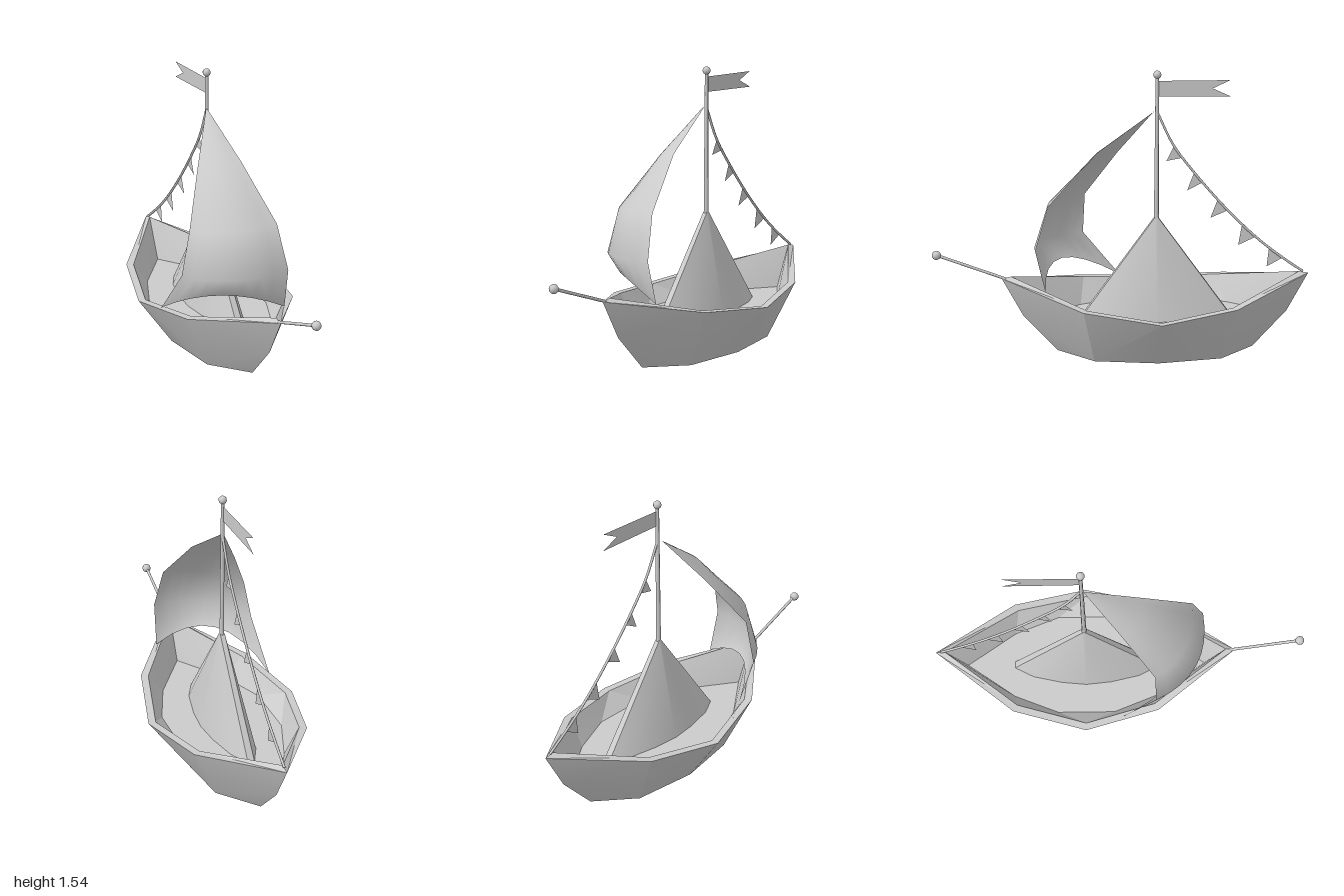
import * as THREE from 'three';
import { toCreasedNormals } from 'three/addons/utils/BufferGeometryUtils.js';

const MID = -0.175; // z of the mast and of the hull's middle
const V = (x, y, z) => new THREE.Vector3(x, y, z);
const grey = new THREE.MeshStandardMaterial({ color: 0xcccccc });
const greyThin = new THREE.MeshStandardMaterial({ color: 0xcccccc, side: THREE.DoubleSide });

function add(group, name, geometry, material = grey) {
  const mesh = new THREE.Mesh(geometry, material);
  mesh.name = name;
  group.add(mesh);
  return mesh;
}

// Mirrors one quarter (+x, front half) to all four quarters about x = 0 and z = MID.
function fourQuarters(points, faces, crease) {
  const pos = [];
  for (const sx of [1, -1]) for (const sz of [1, -1]) {
    for (const face of faces) {
      const names = face.split(' ');
      if (sx * sz < 0) names.reverse();
      for (const n of names) {
        const [x, y, z] = points[n];
        pos.push(x * sx, y, MID + z * sz);
      }
    }
  }
  const geo = new THREE.BufferGeometry();
  geo.setAttribute('position', new THREE.Float32BufferAttribute(pos, 3));
  return toCreasedNormals(geo, crease);
}

// Straight round bar between two points.
function bar(group, name, a, b, r0, r1) {
  const mesh = add(group, name, new THREE.CylinderGeometry(r1, r0, a.distanceTo(b), 8));
  mesh.position.copy(a).lerp(b, 0.5);
  mesh.quaternion.setFromUnitVectors(V(0, 1, 0), b.clone().sub(a).normalize());
}

function ball(group, name, p, r) {
  add(group, name, new THREE.SphereGeometry(r, 10, 8)).position.copy(p);
}

// Flat piece in the x = 0 plane from [z, y] corners.
function flatPiece(group, name, corners) {
  const shape = new THREE.Shape(corners.map(([z, y]) => new THREE.Vector2(-z, y)));
  const geo = new THREE.ShapeGeometry(shape);
  geo.rotateY(Math.PI / 2);
  return add(group, name, geo, greyThin);
}

// Sail: rows of left edge, right edge and belly depth, from top to foot.
function sailGeometry() {
  const rows = [
    [V(-0.012, 1.325, -0.16), V(-0.004, 1.325, -0.16), 0],
    [V(-0.15, 1.08, 0.02), V(0.04, 1.12, 0.14), 0.03],
    [V(-0.28, 0.82, 0.19), V(0.11, 0.86, 0.39), 0.07],
    [V(-0.33, 0.59, 0.2), V(0.14, 0.63, 0.46), 0.1],
    [V(-0.355, 0.335, 0.0), V(0.15, 0.405, 0.41), 0.13],
  ];
  const cols = 8, pos = [], index = [];
  rows.forEach(([left, right, belly], r) => {
    for (let c = 0; c <= cols; c++) {
      const u = c / cols, arch = 4 * u * (1 - u);
      const p = left.clone().lerp(right, u).addScaledVector(V(-0.5, 0, 0.87), belly * arch);
      if (r === rows.length - 1) p.y += 0.125 * arch; // arched foot
      pos.push(p.x, p.y, p.z);
      if (r && c) {
        const d = r * (cols + 1) + c, b = d - cols - 1;
        index.push(b - 1, d - 1, d, b - 1, d, b);
      }
    }
  });
  const geo = new THREE.BufferGeometry();
  geo.setAttribute('position', new THREE.Float32BufferAttribute(pos, 3));
  geo.setIndex(index);
  geo.computeVertexNormals();
  return geo;
}

export function createModel() {
  const boat = new THREE.Group();
  boat.name = 'sailboat';

  // Hull: outer planks, rim, inner walls and floor.
  const hull = {
    R0: [0, 0.44, 0.815], R1: [0.31, 0.35, 0.395], R2: [0.41, 0.31, 0],
    M: [0, 0.23, 0.705],
    B0: [0, 0.03, 0.525], B1: [0.17, 0.03, 0.335], B2: [0.22, 0.03, 0], K: [0, 0, 0],
    I0: [0, 0.45, 0.765], I1: [0.275, 0.35, 0.375], I2: [0.37, 0.31, 0],
    F0: [0, 0.22, 0.66], F1: [0.185, 0.22, 0.395], F2: [0.28, 0.22, 0.155],
    F3: [0.28, 0.22, 0], FC: [0, 0.22, 0],
  };
  add(boat, 'hull', fourQuarters(hull, [
    'R2 B1 B2', 'R1 B1 R2', 'R1 M B1', 'M B0 B1', 'R0 M R1', 'K B2 B1', 'K B1 B0',
    'R0 R1 I1', 'R0 I1 I0', 'R1 R2 I2', 'R1 I2 I1',
    'I0 I1 F1', 'I0 F1 F0', 'I1 I2 F2', 'I1 F2 F1', 'I2 F3 F2',
    'FC F0 F1', 'FC F1 F2', 'FC F2 F3',
  ], 0.25));

  // Folded peak: two curved panels joined by narrow strips front and back.
  const peak = {
    S: [0, 0.765, 0.008], T0: [0.012, 0.765, 0.008], T1: [0.012, 0.765, 0], S1: [0, 0.765, 0],
    D: [0, 0.21, 0.405], C0: [0.018, 0.21, 0.405], C1: [0.072, 0.21, 0.3],
    C2: [0.108, 0.21, 0.14], C3: [0.122, 0.21, 0],
  };
  add(boat, 'peak', fourQuarters(peak, [
    'T0 S D', 'T0 D C0', 'T0 C0 C1', 'T0 C1 C2', 'T0 C2 C3', 'T0 C3 T1', 'S T0 T1', 'S T1 S1',
  ], 0.7));

  // Mast and bowsprit, each ending in a ball.
  bar(boat, 'mast', V(0, 0.7, MID), V(0, 1.51, MID), 0.013, 0.009);
  ball(boat, 'mastBall', V(0, 1.517, MID), 0.021);
  bar(boat, 'bowsprit', V(0, 0.435, 0.61), V(0, 0.575, 0.975), 0.008, 0.008);
  ball(boat, 'bowspritBall', V(0, 0.575, 0.977), 0.024);

  // Swallow-tailed pennant at the masthead.
  flatPiece(boat, 'pennant', [
    [MID, 1.405], [-0.555, 1.4], [-0.46, 1.443], [-0.55, 1.485], [MID, 1.485],
  ]);

  add(boat, 'sail', sailGeometry(), greyThin);

  // Sagging rope to the stern with small flags.
  const rope = new THREE.CatmullRomCurve3([
    [-0.18, 1.315], [-0.26, 1.15], [-0.38, 0.99], [-0.55, 0.795],
    [-0.72, 0.63], [-0.86, 0.52], [-0.96, 0.45],
  ].map(([z, y]) => V(0, y, z)));
  add(boat, 'rope', new THREE.TubeGeometry(rope, 24, 0.007, 6));
  const flags = [
    [[-0.262, 1.14], [-0.305, 1.08], [-0.225, 1.065]],
    [[-0.37, 1.0], [-0.412, 0.945], [-0.335, 0.905]],
    [[-0.495, 0.85], [-0.55, 0.793], [-0.46, 0.755]],
    [[-0.628, 0.715], [-0.7, 0.645], [-0.61, 0.602]],
    [[-0.775, 0.585], [-0.85, 0.527], [-0.765, 0.48]],
  ];
  flags.forEach((f, i) => flatPiece(boat, 'flag' + (i + 1), f));

  return boat;
}
